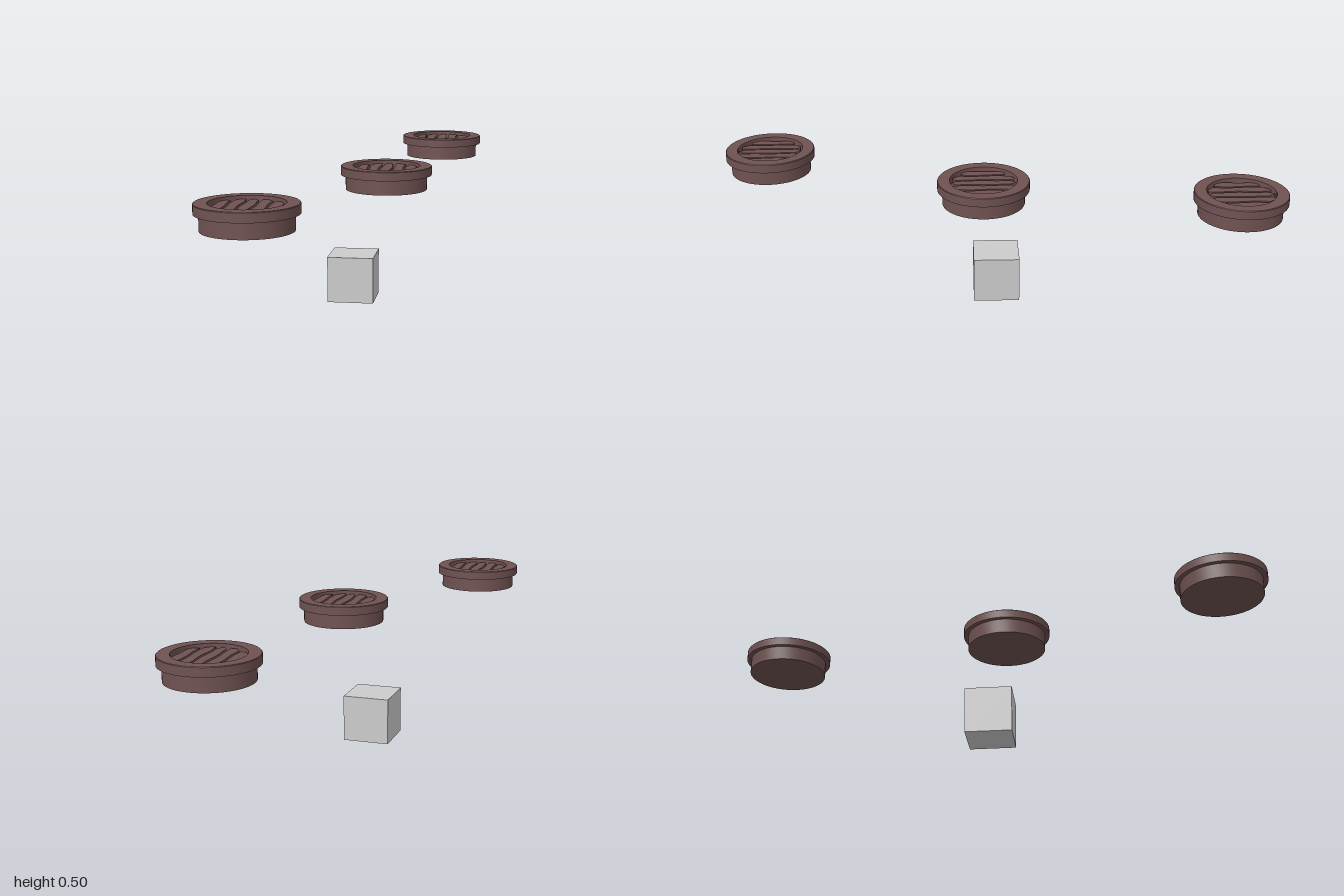
import * as THREE from 'three';
import { toCreasedNormals } from 'three/addons/utils/BufferGeometryUtils.js';

const BASE = 0.42, RIM = 0.473, TOP = 0.505, FLOOR = 0.475, SLAT_TOP = 0.495;
const RECESS = 0.12;

// Round body with overhanging rim and a shallow recess in the top
function bodyGeometry() {
  const profile = [
    [0, BASE], [0.146, BASE], [0.146, RIM], [0.163, RIM], [0.163, TOP - 0.002],
    [0.161, TOP], [RECESS, TOP], [RECESS, FLOOR], [0, FLOOR],
  ].map(([r, y]) => new THREE.Vector2(r, y));
  return toCreasedNormals(new THREE.LatheGeometry(profile, 64), 0.6);
}

// One plank with gently wavering edges, clipped to the round recess
function slatGeometry(x, width, seed) {
  const r = RECESS - 0.003, steps = 10;
  const half = Math.sqrt(r * r - Math.min(r * 0.98, Math.abs(x)) ** 2);
  const edge = (side) => {
    const points = [];
    for (let i = 0; i <= steps; i++) {
      const z = -half + (2 * half * i) / steps;
      const limit = Math.sqrt(Math.max(0, r * r - z * z));
      const wave = 0.0022 * Math.sin(z * 45 + seed * 2.3 + side);
      const px = x + side * width / 2 + wave;
      points.push(new THREE.Vector2(THREE.MathUtils.clamp(px, -limit, limit), z));
    }
    return points;
  };
  const shape = new THREE.Shape([...edge(1), ...edge(-1).reverse()]);
  const geometry = new THREE.ExtrudeGeometry(shape, { depth: SLAT_TOP - FLOOR, bevelEnabled: false });
  return geometry.rotateX(-Math.PI / 2).translate(0, FLOOR, 0);
}

export function createModel() {
  const model = new THREE.Group();
  const brown = new THREE.MeshStandardMaterial({ color: 0x705252 });
  brown.name = 'dark brown';
  const grey = new THREE.MeshStandardMaterial({ color: 0xcccccc });
  grey.name = 'light grey';

  const body = bodyGeometry();
  const slats = [-2, -1, 0, 1, 2].map((i) => slatGeometry(i * 0.043, 0.034, i));

  // Three identical floating discs
  const centres = [[-0.23, 0.837], [0.097, 0.048], [0.23, -0.837]];
  centres.forEach(([x, z], n) => {
    const disc = new THREE.Group();
    disc.name = `disc${n + 1}`;
    const shell = new THREE.Mesh(body, brown);
    shell.name = 'discBody';
    disc.add(shell);
    slats.forEach((geometry, i) => {
      const slat = new THREE.Mesh(geometry, brown);
      slat.name = `slat${i + 1}`;
      disc.add(slat);
    });
    disc.position.set(x, 0, z);
    model.add(disc);
  });

  // Plain cube at ground level
  const cube = new THREE.Mesh(new THREE.BoxGeometry(0.168, 0.168, 0.168), grey);
  cube.name = 'cube';
  cube.position.set(-0.03, 0.084, 0);
  model.add(cube);

  return model;
}
